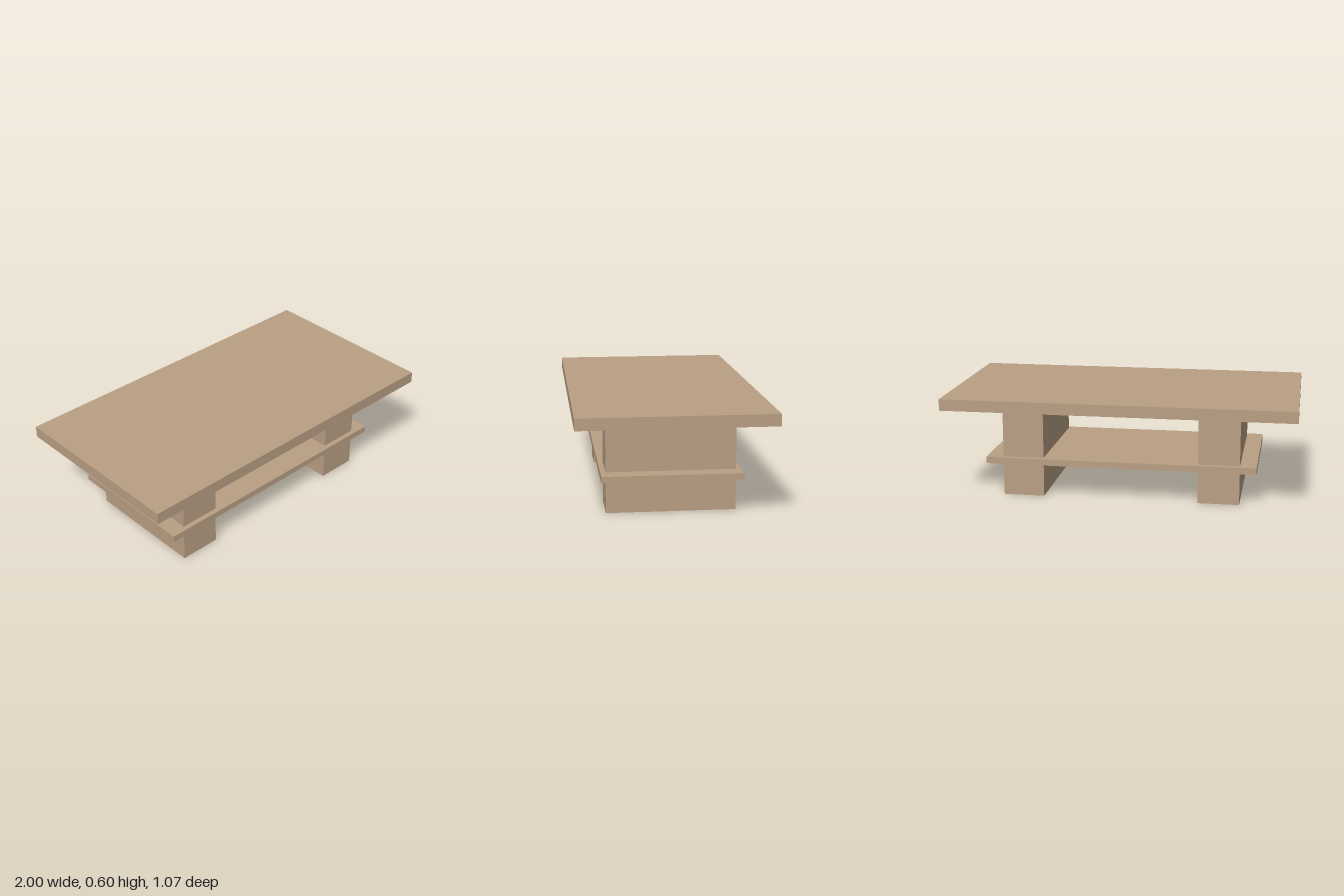
import * as THREE from 'three';

export function createModel() {
  const group = new THREE.Group();
  const wood = new THREE.MeshStandardMaterial({ color: 0xbaa085 });
  wood.name = 'tan wood';

  // Box spanning the heights y0 to y1, centred on z
  const slab = (name, width, y0, y1, depth, x = 0) => {
    const mesh = new THREE.Mesh(new THREE.BoxGeometry(width, y1 - y0, depth), wood);
    mesh.name = name;
    mesh.position.set(x, (y0 + y1) / 2, 0);
    group.add(mesh);
  };

  slab('tableTop', 2, 0.529, 0.595, 1.066);
  slab('lowerShelf', 1.554, 0.191, 0.228, 0.77);

  // Two block legs running through the shelf
  for (const side of [-1, 1]) {
    slab(side > 0 ? 'leftLeg' : 'rightLeg', 0.236, 0, 0.529, 0.712, side * 0.564);
  }
  return group;
}
